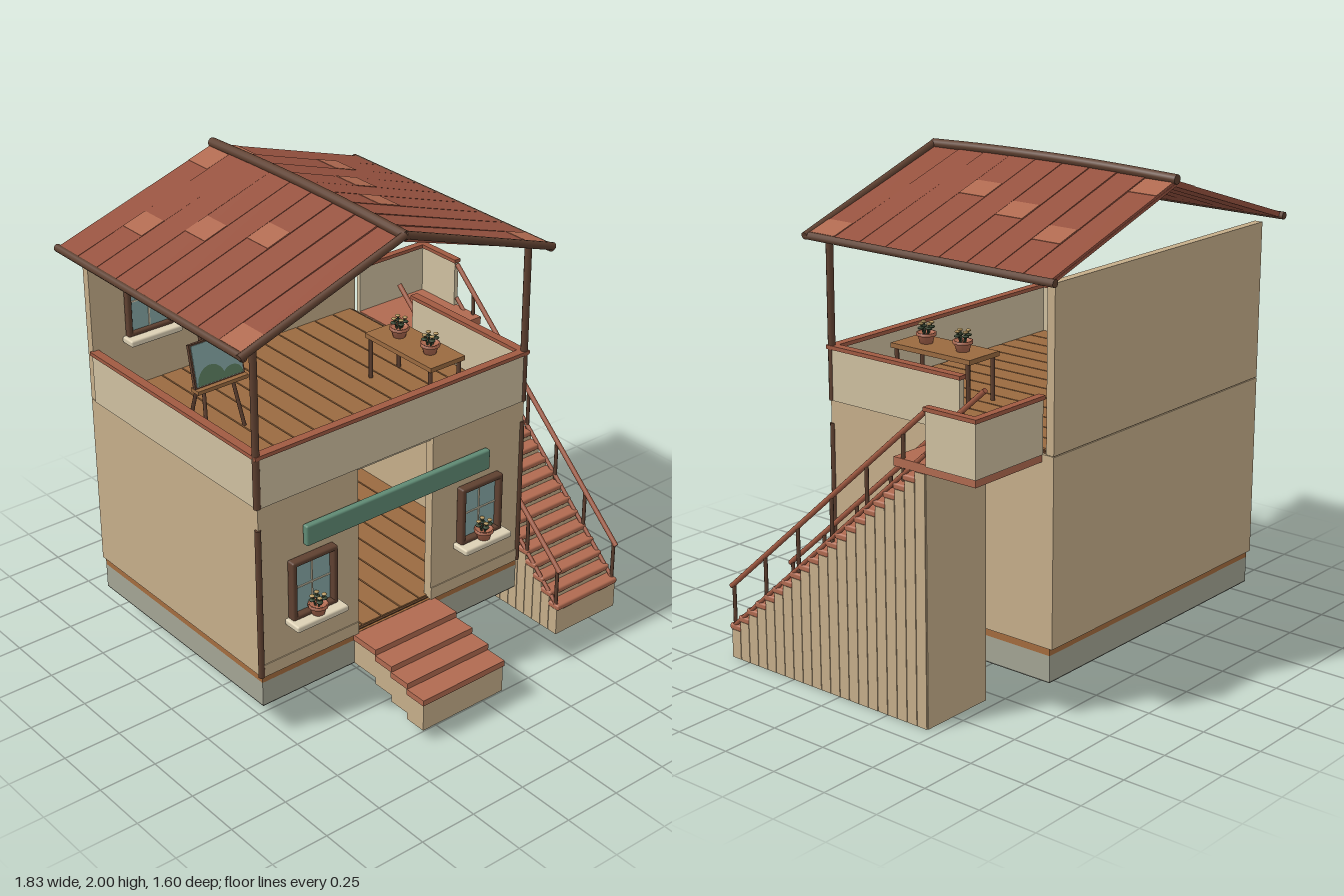
import * as THREE from 'three';
import { RoundedBoxGeometry } from 'three/addons/geometries/RoundedBoxGeometry.js';

const C = {
  wall: 0xc6ae8a, parapet: 0xcfc0a0, plinth: 0xa4a594, base: 0x55564e, skirting: 0xa46c3e, dark: 0x5e4030,
  roof: 0x96523f, tile: 0xb06a50, cap: 0xa05a42, tread: 0xb06a50, glass: 0x86a8a6, sign: 0x5f8a74,
  floor: 0x9a6a40, gap: 0x5a3c26, cream: 0xdcd0b4, leaf: 0x35442f, bud: 0xb99a60, hill: 0x5d8062, sun: 0xdcb878,
};
const mats = {};
const mat = (c) => (mats[c] ??= new THREE.MeshStandardMaterial({ color: C[c] }));
const V = (x, y, z) => new THREE.Vector3(x, y, z);

function add(parent, name, geo, color, x = 0, y = 0, z = 0) {
  const m = new THREE.Mesh(geo, mat(color));
  m.name = name;
  m.position.set(x, y, z);
  parent.add(m);
  return m;
}
// Box given by its extents on each axis
function box(parent, name, color, x0, x1, y0, y1, z0, z1) {
  return add(parent, name, new THREE.BoxGeometry(x1 - x0, y1 - y0, z1 - z0), color,
    (x0 + x1) / 2, (y0 + y1) / 2, (z0 + z1) / 2);
}
// Round bar between two points
function rod(parent, name, color, a, b, r, sides = 10) {
  const d = b.clone().sub(a);
  const m = add(parent, name, new THREE.CylinderGeometry(r, r, d.length(), sides), color);
  m.position.copy(a).add(b).multiplyScalar(0.5);
  m.quaternion.setFromUnitVectors(V(0, 1, 0), d.normalize());
  return m;
}
function group(parent, name, x = 0, y = 0, z = 0) {
  const g = new THREE.Group();
  g.name = name;
  g.position.set(x, y, z);
  parent.add(g);
  return g;
}

// Framed window; origin at the bottom centre on the wall face, facing +z
function windowUnit(parent, x, y, z, h, sillDepth, frameDepth) {
  const g = group(parent, 'window', x, y, z), w = 0.22, t = 0.022;
  box(g, 'glass', 'glass', -w / 2 + 0.01, w / 2 - 0.01, 0.01, h - 0.01, 0, 0.012);
  for (const s of [-1, 1])
    add(g, 'frameSide', new RoundedBoxGeometry(t, h, frameDepth, 2, 0.008), 'dark', s * (w - t) / 2, h / 2, frameDepth / 2);
  for (const yy of [t / 2, h - t / 2])
    add(g, 'frameRail', new RoundedBoxGeometry(w, t, frameDepth, 2, 0.008), 'dark', 0, yy, frameDepth / 2);
  box(g, 'mullion', 'cream', -0.003, 0.003, 0.01, h - 0.01, 0.01, 0.016);
  box(g, 'crossBar', 'cream', -0.1, 0.1, h / 2 - 0.003, h / 2 + 0.003, 0.01, 0.016);
  add(g, 'sill', new RoundedBoxGeometry(0.25, 0.028, sillDepth, 2, 0.008), 'cream', 0, -0.008, sillDepth / 2);
}

// Terracotta pot with small stems
function pottedPlant(parent, x, y, z) {
  const g = group(parent, 'pottedPlant', x, y, z);
  const pts = [[0, 0], [0.026, 0], [0.035, 0.032], [0.041, 0.032], [0.041, 0.044], [0.034, 0.044], [0.032, 0.036], [0, 0.036]];
  add(g, 'pot', new THREE.LatheGeometry(pts.map((p) => new THREE.Vector2(...p)), 14), 'tread');
  for (let i = 0; i < 4; i++) {
    const a = i * Math.PI / 2 + 0.4, px = Math.cos(a) * 0.024, pz = Math.sin(a) * 0.024;
    rod(g, 'stem', 'leaf', V(px * 0.4, 0.034, pz * 0.4), V(px, 0.08, pz), 0.004, 6);
    add(g, 'leaf', new THREE.SphereGeometry(0.014, 8, 6), 'leaf', px, 0.063, pz).scale.y = 0.4;
    add(g, 'bud', new THREE.SphereGeometry(0.011, 8, 6), 'bud', px, 0.081, pz).scale.y = 0.5;
  }
}

// Easel with a painted landscape; origin on the floor
function easel(parent, x, y, z) {
  const g = group(parent, 'easel', x, y, z);
  for (const s of [-1, 1]) rod(g, 'frontLeg', 'dark', V(s * 0.09, 0, 0.06), V(s * 0.045, 0.41, -0.03), 0.008, 8);
  rod(g, 'backLeg', 'dark', V(0, 0, -0.17), V(0, 0.41, -0.03), 0.008, 8);
  box(g, 'tray', 'floor', -0.12, 0.12, 0.2, 0.216, 0.005, 0.055);
  const c = group(g, 'canvas', 0, 0.216, 0.03);
  c.rotation.x = -0.2;
  box(c, 'canvasFrame', 'dark', -0.118, 0.118, 0, 0.18, -0.012, 0.004);
  box(c, 'sky', 'glass', -0.11, 0.11, 0.006, 0.174, 0.003, 0.007);
  for (const [hx, r, hy] of [[-0.04, 0.066, 1.1], [0.06, 0.048, 0.9]])
    add(c, 'hill', new THREE.CircleGeometry(r, 20, 0, Math.PI), 'hill', hx, 0.008, 0.009).scale.y = hy;
  add(c, 'sun', new THREE.CircleGeometry(0.023, 18), 'sun', 0.06, 0.138, 0.009);
}

function plankFloor(parent, y) {
  const g = group(parent, 'plankFloor'), n = 13, w = 1.3 / n;
  box(g, 'underfloor', 'gap', -0.81, 0.51, y - 0.025, y - 0.006, -0.71, 0.36);
  for (let i = 0; i < n; i++)
    box(g, 'plank', 'floor', -0.8 + i * w + 0.003, -0.8 + (i + 1) * w - 0.003, y - 0.01, y, -0.71, 0.35);
}

function house(root) {
  const g = group(root, 'house');
  box(g, 'plinth', 'plinth', -0.815, 0.52, 0.145, 0.25, -0.73, 0.37);
  box(g, 'plinthUnderside', 'base', -0.815, 0.52, 0.14, 0.145, -0.73, 0.37);
  box(g, 'floorBand', 'skirting', -0.815, 0.52, 0.25, 0.28, -0.73, 0.37);
  // Ground floor walls, with an opening for the doorway
  for (const [a, b] of [[-0.82, -0.34], [0.04, 0.525]]) {
    box(g, 'frontWall', 'wall', a, b, 0.28, 1.04, 0.335, 0.375);
    box(g, 'baseboard', 'wall', a, b, 0.28, 0.335, 0.37, 0.379);
  }
  box(g, 'leftWall', 'wall', 0.485, 0.525, 0.28, 1.04, -0.74, 0.37);
  box(g, 'rightWall', 'wall', -0.82, -0.78, 0.28, 1.04, -0.74, 0.37);
  box(g, 'backWallLower', 'wall', -0.82, 0.525, 0.28, 1.038, -0.745, -0.71);
  box(g, 'backWallUpper', 'wall', -0.82, 0.525, 1.042, 1.69, -0.745, -0.71);
  box(g, 'backWallCore', 'wall', -0.815, 0.52, 1.03, 1.05, -0.74, -0.715);
  plankFloor(g, 0.29);
  plankFloor(g, 1.055);
  box(g, 'ceiling', 'parapet', -0.8, 0.51, 1.02, 1.03, -0.71, 0.36);
  // Parapet round the open upper floor, with a gap at the stair landing
  const sides = [[-0.825, 0.53, 0.355, 0.38], [-0.825, -0.8, -0.71, 0.38], [0.505, 0.53, -0.3, 0.38]];
  for (const [x0, x1, z0, z1] of sides) {
    box(g, 'parapet', 'parapet', x0, x1, 1.04, 1.25, z0, z1);
    box(g, 'parapetCap', 'cap', x0 - 0.006, x1 + 0.006, 1.25, 1.266, z0 - 0.006, z1 + 0.006);
  }
  for (const x of [-0.818, 0.52]) {
    rod(g, 'roofPost', 'dark', V(x, 1.04, 0.37), V(x, 1.74, 0.37), 0.015);
    rod(g, 'cornerPost', 'dark', V(x, 0.28, 0.37), V(x, 0.945, 0.37), 0.013);
  }
  add(g, 'signBoard', new RoundedBoxGeometry(0.935, 0.09, 0.03, 2, 0.008), 'sign', -0.147, 0.853, 0.392);
  for (const x of [-0.58, 0.28]) {
    windowUnit(g, x, 0.5, 0.375, 0.265, 0.085, 0.04);
    pottedPlant(g, x, 0.506, 0.425);
  }
  for (const x of [-0.555, 0.255]) windowUnit(g, x, 1.285, -0.71, 0.3, 0.07, 0.03);
  easel(g, -0.58, 1.055, -0.21);
  easel(g, -0.58, 0.29, -0.21);
  // Bench for the upper plants
  box(g, 'benchTop', 'floor', 0.14, 0.32, 1.235, 1.255, -0.17, 0.24);
  for (const x of [0.155, 0.305]) for (const z of [-0.15, 0.22])
    rod(g, 'benchLeg', 'dark', V(x, 1.055, z), V(x, 1.24, z), 0.009, 8);
  for (const z of [0.13, -0.06]) pottedPlant(g, 0.23, 1.255, z);
}

function roof(root) {
  const g = group(root, 'roof'), rx = -0.15, n = 9, w = 1.19 / n;
  const ridgeY = (z) => 1.98 - 0.035 * (z + 0.18) ** 2;
  const patches = [[0, 0.07], [1, 0.5], [3, 0.385], [5, 0.28], [7, -1], [8, 0.72]];
  for (const s of [-1, 1]) {
    for (let i = 0; i < n; i++) {
      const z = -0.785 + (i + 0.5) * w, y = ridgeY(z) - 0.02, a = Math.atan2(y - 1.71, 0.75);
      const len = Math.hypot(y - 1.71, 0.75);
      const p = group(g, 'roofStrip', rx, y, z);
      p.rotation.z = -s * a;
      add(p, 'strip', new THREE.BoxGeometry(len, 0.022, w - 0.003), 'roof', s * len / 2, 0, 0);
      add(p, 'stripLining', new THREE.BoxGeometry(len, 0.012, w), 'roof', s * len / 2, -0.004, 0);
      for (const [row, d] of patches) if (row === i && d > 0)
        add(p, 'paleTile', new THREE.BoxGeometry(0.11, 0.006, w - 0.004), 'tile', s * d, 0.01, 0);
    }
    const ex = rx + s * 0.745;
    rod(g, 'eaveBar', 'dark', V(ex, 1.71, -0.8), V(ex, 1.71, 0.425), 0.016);
    rod(g, 'gableBar', 'dark', V(rx, 1.97, 0.415), V(rx + s * 0.76, 1.71, 0.415), 0.016);
  }
  const path = new THREE.CatmullRomCurve3([-0.79, -0.5, -0.18, 0.15, 0.42].map((z) => V(rx, ridgeY(z), z)));
  add(g, 'ridgeBar', new THREE.TubeGeometry(path, 20, 0.02, 12), 'dark');
  for (const [z, ry] of [[-0.79, Math.PI], [0.42, 0]])
    add(g, 'ridgeEnd', new THREE.CircleGeometry(0.02, 12), 'dark', rx, ridgeY(z), z).rotation.y = ry;
}

function outsideStair(root) {
  const g = group(root, 'outsideStair'), n = 21, dz = 1.045 / n;
  for (let i = 0; i < n; i++) {
    const z1 = 0.595 - i * dz, top = 0.145 + i * 0.0443;
    box(g, 'stepBlock', 'wall', 0.553, 0.897, 0, top - 0.024, z1 - dz + 0.003, z1);
    box(g, 'blockCore', 'wall', 0.558, 0.892, 0, top - 0.026, z1 - dz - 0.001, z1 - 0.001);
    add(g, 'tread', new RoundedBoxGeometry(0.35, 0.026, 0.062, 2, 0.008), 'tread', 0.725, top - 0.012, z1 - dz / 2 + 0.004);
  }
  for (const x of [0.56, 0.89]) {
    rod(g, 'handrail', 'cap', V(x, 0.305, 0.595), V(x, 1.245, -0.45), 0.011);
    rod(g, 'lowerRail', 'cap', V(x, 0.13, 0.595), V(x, 1.085, -0.45), 0.009);
    for (let i = 0; i < 6; i++) {
      const z = 0.58 - i * 0.184, y = 0.32 + i * 0.1655;
      rod(g, 'baluster', 'dark', V(x, y - 0.19, z), V(x, y, z), 0.008, 8);
    }
  }
  // Landing with its own parapet
  box(g, 'landing', 'tread', 0.525, 0.9, 1.01, 1.045, -0.69, -0.3);
  for (const [x0, x1, z0, z1] of [[0.885, 0.905, -0.69, -0.46], [0.525, 0.905, -0.695, -0.675]]) {
    box(g, 'landingParapet', 'parapet', x0, x1, 1.04, 1.25, z0, z1);
    box(g, 'landingCap', 'cap', x0 - 0.006, x1 + 0.006, 1.25, 1.266, z0 - 0.006, z1 + 0.006);
  }
}

function frontSteps(root) {
  const g = group(root, 'frontSteps');
  for (let i = 0; i < 4; i++) {
    const z1 = 0.795 - i * 0.097, top = 0.197 + i * 0.027, z0 = i === 3 ? 0.37 : z1 - 0.097;
    box(g, 'stepBlock', 'wall', -0.357, 0.06, 0.05 + i * 0.03, top - 0.026, z0, z1);
    box(g, 'stepTread', 'tread', -0.362, 0.064, top - 0.026, top, z0, z1 + 0.005);
  }
}

export function createModel() {
  const root = new THREE.Group();
  root.name = 'studioHouse';
  house(root);
  roof(root);
  outsideStair(root);
  frontSteps(root);
  return root;
}
